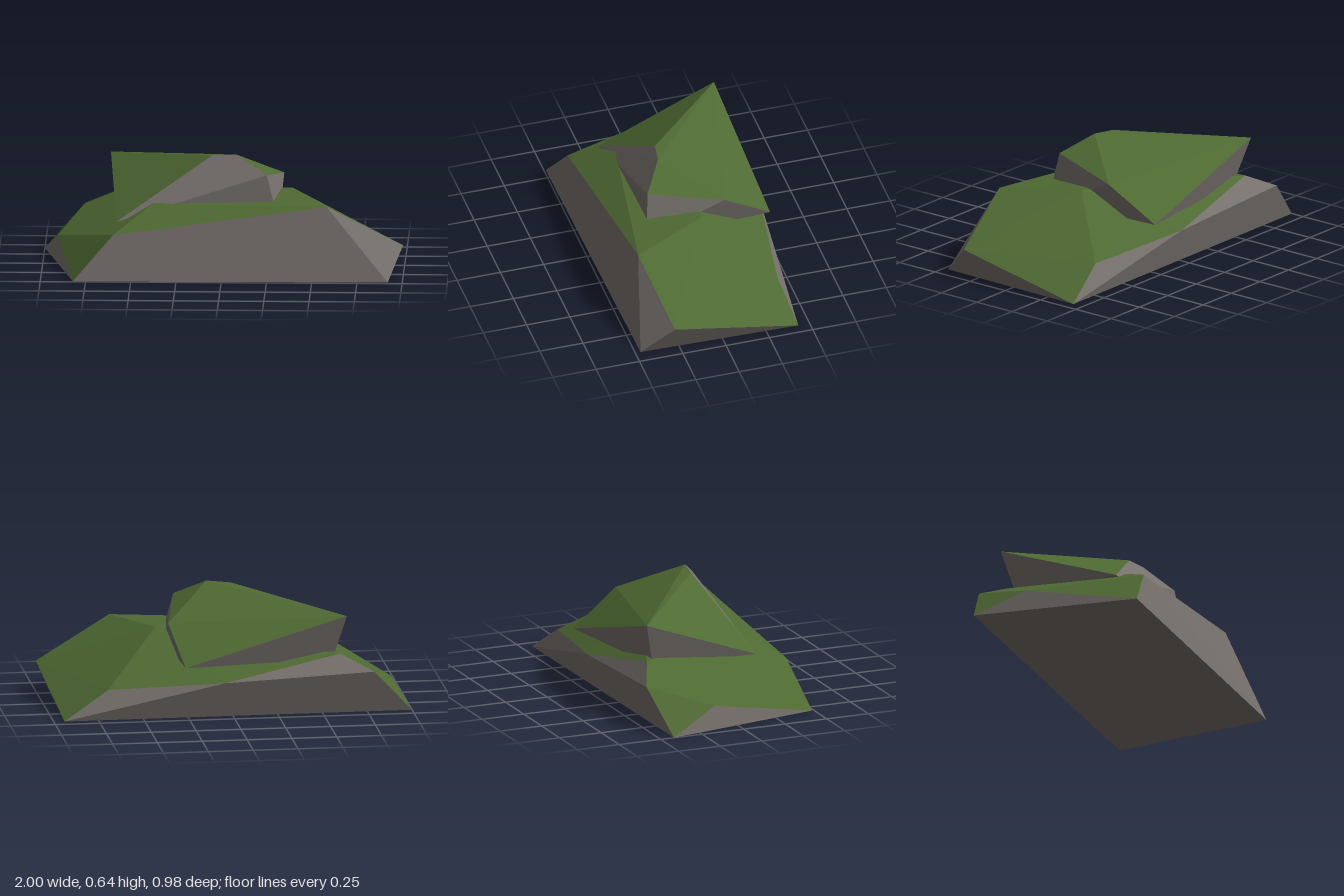
import * as THREE from 'three';
import { ConvexGeometry } from 'three/addons/geometries/ConvexGeometry.js';

// Faces pointing upward more than this are covered in moss
const MOSS_SLOPE = 0.65;

const stone = new THREE.MeshStandardMaterial({ color: 0x77716d });
stone.name = 'stone';
const moss = new THREE.MeshStandardMaterial({ color: 0x4f6a33 });
moss.name = 'moss';

// Faceted boulder: convex hull of its corners, split into moss and bare stone
function boulder(name, corners) {
  const hull = new ConvexGeometry(corners.map((c) => new THREE.Vector3(...c)));
  const pos = hull.attributes.position;
  const triangle = new THREE.Triangle();
  const normal = new THREE.Vector3();
  const mossy = [];
  const bare = [];
  for (let i = 0; i < pos.count; i += 3) {
    triangle.setFromAttributeAndIndices(pos, i, i + 1, i + 2).getNormal(normal);
    const target = normal.y > MOSS_SLOPE ? mossy : bare;
    for (const p of [triangle.a, triangle.b, triangle.c]) target.push(p.x, p.y, p.z);
  }
  const group = new THREE.Group();
  group.name = name;
  for (const [part, list, material] of [['Moss', mossy, moss], ['Stone', bare, stone]]) {
    const geometry = new THREE.BufferGeometry();
    geometry.setAttribute('position', new THREE.Float32BufferAttribute(list, 3));
    geometry.computeVertexNormals();
    const mesh = new THREE.Mesh(geometry, material);
    mesh.name = name + part;
    group.add(mesh);
  }
  return group;
}

export function createModel() {
  const model = new THREE.Group();
  model.name = 'mossyRocks';

  model.add(boulder('lowerRock', [
    // footprint
    [-0.82, 0, 0.49], [0.92, 0, 0.47], [0.94, 0, -0.435], [-1, 0, -0.42],
    // shoulders
    [1, 0.175, 0.295], [0.58, 0.405, 0.38], [-0.6, 0.25, 0.43], [-0.92, 0.13, -0.14],
    [-0.78, 0.24, -0.49], [0.05, 0.2, -0.485], [0.69, 0.16, -0.39],
    // top
    [0.38, 0.427, -0.04], [-0.38, 0.39, 0.22], [-0.6, 0.33, -0.41],
  ]));

  model.add(boulder('upperRock', [
    // underside
    [-0.585, 0.29, 0.255], [0.31, 0.29, 0.25], [0.27, 0.29, -0.475], [-0.565, 0.29, -0.36],
    // top
    [-0.635, 0.545, -0.425], [-0.06, 0.633, 0.09], [0.075, 0.643, 0.113],
    [0.245, 0.55, 0.225], [0.33, 0.48, -0.195],
  ]));

  return model;
}
